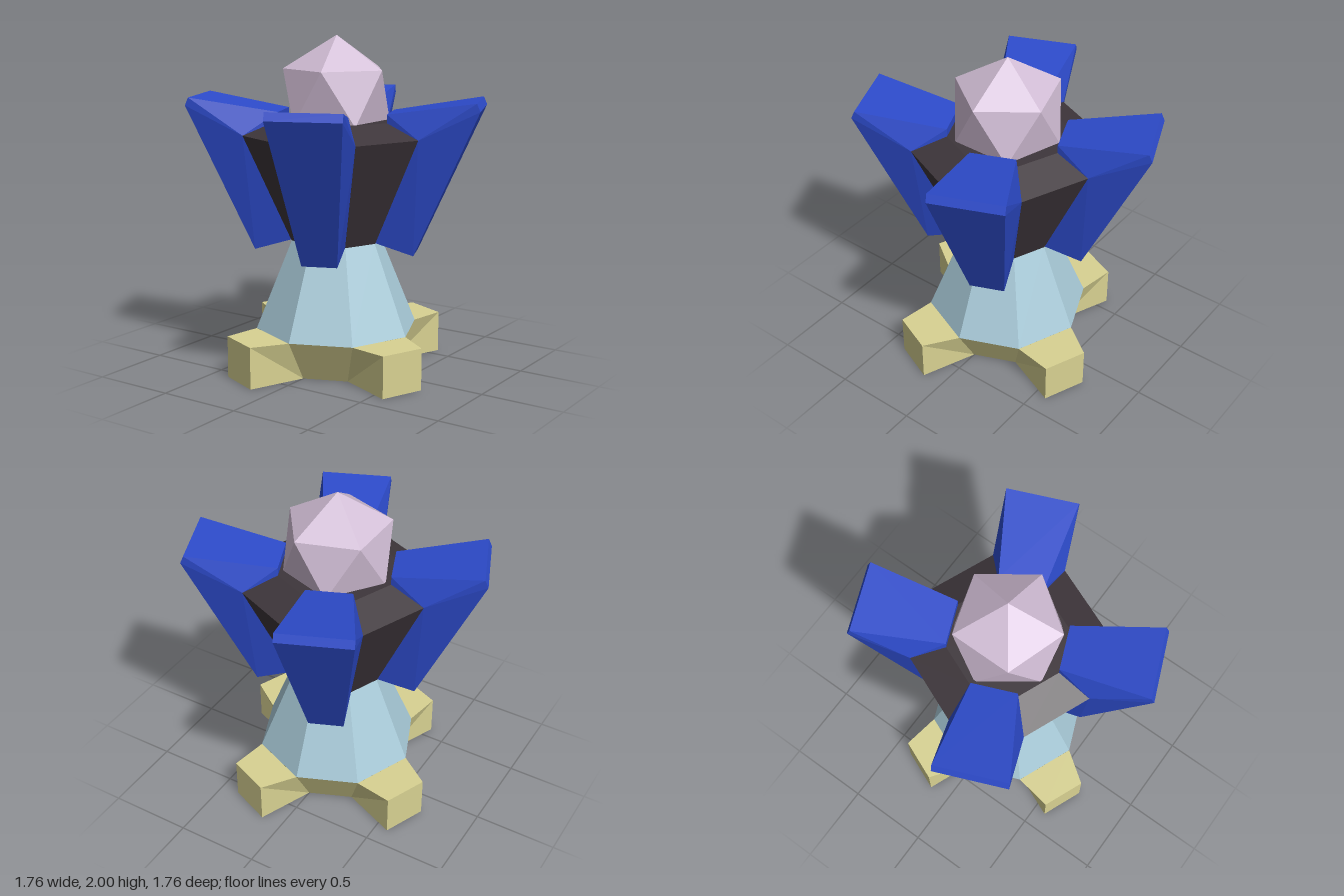
import * as THREE from 'three';

const flat = (name, color) => {
  const m = new THREE.MeshStandardMaterial({ color, flatShading: true });
  m.name = name;
  return m;
};

// Octagonal frustum with corners on the x and z axes
function frustum(name, rTop, rBottom, y0, y1, material) {
  const geo = new THREE.CylinderGeometry(rTop, rBottom, y1 - y0, 8);
  geo.translate(0, (y0 + y1) / 2, 0);
  const mesh = new THREE.Mesh(geo, material);
  mesh.name = name;
  return mesh;
}

// Symmetric block from a counter-clockwise profile of [radius, height, half width];
// the side walls fan out from the first profile point
function block(profile) {
  const pos = [];
  const n = profile.length;
  const point = (i, side) => {
    const [r, y, w] = profile[i % n];
    return [r, y, w * side];
  };
  const tri = (a, b, c) => pos.push(...a, ...b, ...c);
  for (let i = 0; i < n; i++) {
    const a = point(i, 1), b = point(i, -1), c = point(i + 1, -1), d = point(i + 1, 1);
    tri(a, b, c);
    tri(a, c, d);
    if (i > 0 && i < n - 1) {
      tri(point(0, 1), a, d);
      tri(point(0, -1), c, b);
    }
  }
  const geo = new THREE.BufferGeometry();
  geo.setAttribute('position', new THREE.Float32BufferAttribute(pos, 3));
  geo.computeVertexNormals();
  return geo;
}

// Four copies around the axis
function ring(name, geo, material, startAngle) {
  const group = new THREE.Group();
  group.name = name + 's';
  for (let i = 0; i < 4; i++) {
    const mesh = new THREE.Mesh(geo, material);
    mesh.name = name;
    mesh.rotation.y = startAngle + i * Math.PI / 2;
    group.add(mesh);
  }
  return group;
}

export function createModel() {
  const sand = flat('sand', 0xd8d292);
  const paleBlue = flat('pale blue', 0xaaccda);
  const charcoal = flat('charcoal', 0x3e363b);
  const blue = flat('royal blue', 0x2d4bcb);
  const lilac = flat('lilac', 0xd3bfd7);

  const model = new THREE.Group();
  model.name = 'tower';

  // Foot, stem and flared body
  model.add(
    frustum('base', 0.49, 0.35, 0, 0.25, sand),
    frustum('stem', 0.27, 0.49, 0.25, 0.79, paleBlue),
    frustum('body', 0.56, 0.275, 0.785, 1.42, charcoal),
    frustum('bodyShoulder', 0.35, 0.56, 1.42, 1.505, charcoal)
  );

  // Feet on alternate sides of the base
  const foot = block([
    [0.323, 0, 0.134], [0.68, 0, 0.135], [0.68, 0.25, 0.135], [0.453, 0.25, 0.1875]
  ]);
  model.add(ring('foot', foot, sand, -Math.PI / 8));

  // Flaring fins on the other sides of the body
  const fin = block([
    [0.517, 1.42, 0.214],
    [0.25, 0.79, 0.104],
    [0.48, 0.72, 0.104],
    [0.866, 1.59, 0.214],
    [0.846, 1.637, 0.214],
    [0.323, 1.555, 0.134],
    [0.323, 1.5, 0.134]
  ]);
  model.add(ring('fin', fin, blue, Math.PI / 8));

  // Faceted crystal standing on one corner
  const crystalGeo = new THREE.IcosahedronGeometry(0.352, 0);
  crystalGeo.rotateZ(-Math.atan(2 / (1 + Math.sqrt(5))));
  const crystal = new THREE.Mesh(crystalGeo, lilac);
  crystal.name = 'crystal';
  crystal.position.y = 1.648;
  model.add(crystal);

  return model;
}
